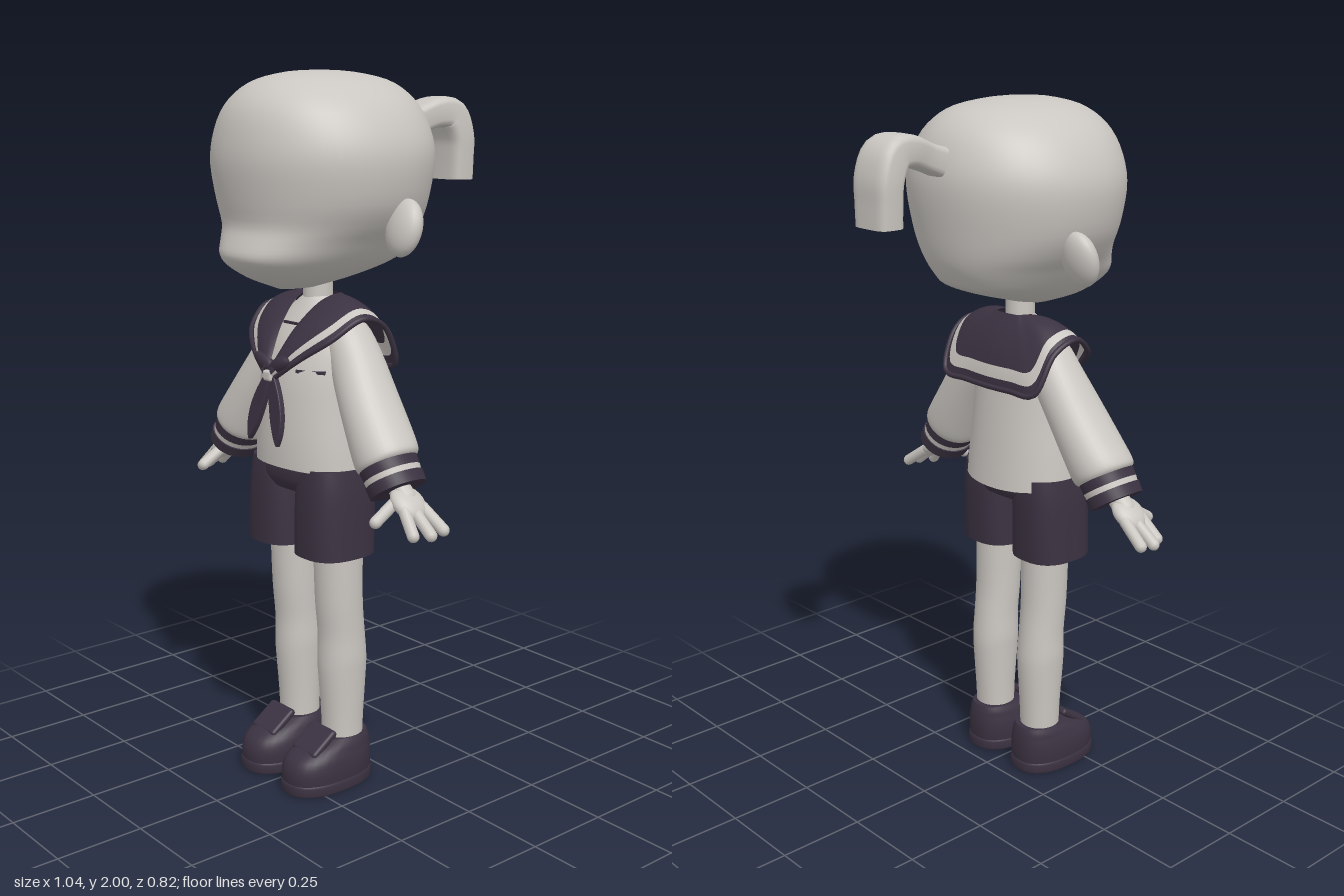
import * as THREE from 'three';
import { RoundedBoxGeometry } from 'three/addons/geometries/RoundedBoxGeometry.js';

const light = new THREE.MeshStandardMaterial({ color: 0xcac6c1, side: THREE.DoubleSide });
light.name = 'warm light grey';
const dark = new THREE.MeshStandardMaterial({ color: 0x3b3241, side: THREE.DoubleSide });
dark.name = 'dark plum';

const V = (x, y, z) => new THREE.Vector3(x, y, z);

function add(parent, name, geometry, material, x = 0, y = 0, z = 0) {
  const mesh = new THREE.Mesh(geometry, material);
  mesh.name = name;
  mesh.position.set(x, y, z);
  parent.add(mesh);
  return mesh;
}

// Skin over a list of closed rings, with flat end caps
function loft(rings, capped = true) {
  const n = rings[0].length, pos = [], idx = [];
  const put = p => pos.push(p.x, p.y, p.z) / 3 - 1;
  rings.forEach(r => r.forEach(put));
  for (let i = 0; i < rings.length - 1; i++) for (let j = 0; j < n; j++) {
    const k = (j + 1) % n, a = i * n + j, b = i * n + k, c = b + n, d = a + n;
    idx.push(a, b, d, b, c, d);
  }
  if (capped) [rings[0], rings[rings.length - 1]].forEach((r, top) => {
    const mid = put(r.reduce((s, p) => s.add(p), V(0, 0, 0)).divideScalar(n));
    const first = r.map(put)[0];
    for (let j = 0; j < n; j++) {
      const a = first + j, b = first + (j + 1) % n;
      if (top) idx.push(mid, a, b); else idx.push(mid, b, a);
    }
  });
  const g = new THREE.BufferGeometry();
  g.setAttribute('position', new THREE.Float32BufferAttribute(pos, 3));
  g.setIndex(idx);
  g.computeVertexNormals();
  return g;
}

// Smoothly subdivide rows of numbers
function smooth(rows, steps = 3) {
  const at = i => rows[Math.max(0, Math.min(rows.length - 1, i))];
  const out = [];
  for (let i = 0; i < rows.length - 1; i++) for (let s = 0; s < steps; s++) {
    const t = s / steps;
    out.push(rows[i].map((b, k) => {
      const a = at(i - 1)[k], c = at(i + 1)[k], d = at(i + 2)[k];
      return b + 0.5 * t * (c - a + t * (2 * a - 5 * b + 4 * c - d + t * (3 * (b - c) + d - a)));
    }));
  }
  return [...out, rows[rows.length - 1]];
}

const power = (v, n) => Math.sign(v) * Math.abs(v) ** (2 / n);

// Rows are [y, half width, front z, back z, squareness]
function body(rows, { steps = 3, segs = 32, capped = true } = {}) {
  const full = rows.map(([y, hx, zf, zb, n = 2.1]) => [y, hx, zf, zb, n]);
  return loft(smooth(full, steps).map(([y, hx, zf, zb, n]) =>
    Array.from({ length: segs }, (_, j) => {
      const a = j / segs * Math.PI * 2;
      return V(hx * power(Math.sin(a), n), y, (zf + zb) / 2 + (zf - zb) / 2 * power(Math.cos(a), n));
    })), capped);
}

function limb(parent, name, a, b, r, material) {
  const m = add(parent, name, new THREE.CapsuleGeometry(r, a.distanceTo(b), 5, 12), material);
  m.position.copy(a).add(b).multiplyScalar(0.5);
  m.quaternion.setFromUnitVectors(V(0, 1, 0), b.clone().sub(a).normalize());
}

function buildHead(g) {
  add(g, 'head', body([
    [1.425, .03, .26, .14, 2.2], [1.45, .1, .325, .05, 2.4], [1.475, .14, .37, -.04, 2.5],
    [1.5, .17, .4, -.105, 2.5], [1.525, .192, .41, -.13, 2.4], [1.56, .218, .398, -.15, 2.3],
    [1.6, .25, .385, -.163, 2.2], [1.66, .283, .395, -.175], [1.75, .3, .407, -.188],
    [1.82, .292, .403, -.187], [1.89, .258, .385, -.165], [1.94, .21, .35, -.13],
    [1.975, .15, .295, -.075], [1.995, .07, .21, .02], [2, .004, .12, .11]], { segs: 48 }), light);
  add(g, 'neck', new THREE.CylinderGeometry(.04, .043, .14, 24), light, 0, 1.42, .127);
  for (const s of [-1, 1]) {
    const ear = add(g, 'ear', new THREE.SphereGeometry(1, 24, 16), light, s * .29, 1.597, .07);
    ear.scale.set(.06, .077, .036);
    ear.rotation.x = -.25;
  }
  // Ponytail: squarish sections [z, y, half width, half thickness] along a bend
  const rows = smooth([[-.155, 1.84, .045, .042], [-.22, 1.862, .046, .038], [-.285, 1.884, .058, .042],
    [-.34, 1.878, .066, .046], [-.367, 1.82, .07, .043], [-.37, 1.76, .068, .041], [-.37, 1.695, .065, .041]], 4);
  add(g, 'ponytail', loft(rows.map(([z, y, hw, ht], i) => {
    const p = rows[Math.max(0, i - 1)], q = rows[Math.min(rows.length - 1, i + 1)];
    const t = new THREE.Vector2(q[1] - p[1], q[0] - p[0]).normalize();
    return Array.from({ length: 24 }, (_, j) => {
      const a = j / 12 * Math.PI, m = ht * power(Math.cos(a), 4);
      return V(hw * power(Math.sin(a), 4), y - t.y * m, z + t.x * m);
    });
  })), light);
}

function buildShirt(g) {
  const shirt = body([[.92, .188, .285, .005], [1, .182, .285, .012], [1.1, .172, .28, .02],
    [1.2, .165, .268, .028], [1.28, .155, .24, .035], [1.34, .12, .205, .06],
    [1.385, .06, .175, .085], [1.4, .04, .165, .09]], { segs: 40, capped: false });
  // Hem drops towards the back
  const p = shirt.attributes.position;
  for (let i = 0; i < p.count; i++) {
    const w = Math.max(0, 1 - (p.getY(i) - .92) / .12);
    p.setY(i, p.getY(i) + w * .12 * (p.getZ(i) - .145));
  }
  shirt.computeVertexNormals();
  add(g, 'shirt', shirt, light);
  add(g, 'necklineStripe', new THREE.BoxGeometry(.08, .007, .008), dark, 0, 1.327, .213);
  const pocket = add(g, 'pocketTrim', new THREE.BoxGeometry(.085, .009, .009), dark, .103, 1.208, .235);
  pocket.rotation.y = .5;

  // Sailor collar: bands between the neckline and the outer edge
  for (const s of [-1, 1]) {
    const curve = pts => new THREE.CatmullRomCurve3(pts.map(([x, y, z]) => V(x * s, y, z)));
    const inner = curve([[.006, 1.23, .288], [.03, 1.32, .232], [.05, 1.385, .165], [.055, 1.402, .125],
      [.05, 1.405, .095], [.045, 1.405, .08], [.025, 1.405, .075], [0, 1.405, .073]]);
    const outer = curve([[.02, 1.19, .292], [.1, 1.245, .272], [.175, 1.3, .225], [.21, 1.355, .14],
      [.207, 1.325, .062], [.185, 1.215, .006], [.09, 1.208, .002], [0, 1.206, 0]]);
    const point = (u, v) => {
      const q = inner.getPoint(u).lerp(outer.getPoint(u), v);
      const out = q.clone().sub(V(0, 1.25, .14)).normalize();
      return q.addScaledVector(out, .018 * 4 * v * (1 - v));
    };
    [['collar', 0, .7, dark], ['collarStripe', .7, .86, light], ['collarBorder', .86, 1, dark]]
      .forEach(([name, v0, v1, mat]) => {
        const geo = new THREE.PlaneGeometry(1, 1, 42, 6), a = geo.attributes.position;
        for (let i = 0; i < a.count; i++) {
          const u = a.getX(i) + .5, v = a.getY(i) + .5;
          const q = point(s > 0 ? u : 1 - u, v1 + (v0 - v1) * v);
          a.setXYZ(i, q.x, q.y, q.z);
        }
        geo.computeVertexNormals();
        add(g, name, geo, mat);
      });
    add(g, 'collarEdge', new THREE.TubeGeometry(outer, 42, .008, 8), dark);
    // Scarf tails and knot wings
    const leaf = new THREE.Shape();
    leaf.moveTo(s * .002, 0);
    leaf.quadraticCurveTo(s * .018, -.12, s * .062, -.178);
    leaf.quadraticCurveTo(s * .092, -.1, s * .02, 0);
    const tail = add(g, 'scarfTail', new THREE.ExtrudeGeometry(leaf,
      { depth: .012, bevelSize: .003, bevelThickness: .003, bevelSegments: 2, curveSegments: 10 }), dark, 0, 1.187, .286);
    tail.rotation.x = -.15;
    const wing = add(g, 'scarfKnot', new THREE.SphereGeometry(1, 16, 12), dark, s * .032, 1.224, .287);
    wing.scale.set(.046, .021, .016);
    wing.rotation.z = s * .4;
  }
  add(g, 'scarfRing', new RoundedBoxGeometry(.036, .03, .026, 3, .008), light, 0, 1.192, .296);
}

function buildArm(g, s) {
  const arm = new THREE.Group();
  arm.name = 'arm';
  arm.position.set(s * .125, 1.29, 0);
  arm.rotation.z = s * .585;
  g.add(arm);
  add(arm, 'sleeve', body([[-.372, .064, .225, .08], [-.362, .08, .237, .066], [-.34, .084, .24, .058],
    [-.28, .079, .235, .053], [-.18, .072, .222, .05], [-.06, .068, .2, .05], [.02, .058, .188, .06],
    [.045, .028, .16, .09]]), light);
  [['cuff', -.394, -.366, dark, 0], ['cuffStripe', -.41, -.394, light, -.002], ['cuff', -.442, -.41, dark, 0]]
    .forEach(([name, y0, y1, mat, o]) => add(arm, name, body(
      [[y0, .072 + o, .234 + o, .072 - o], [y1, .074 + o, .236 + o, .07 - o]], { steps: 1 }), mat));
  // Hand with three fingers and a thumb
  const hand = new THREE.Group();
  hand.name = 'hand';
  g.add(hand);
  limb(hand, 'wrist', V(s * .35, .95, .155), V(s * .4, .905, .155), .031, light);
  const palm = add(hand, 'palm', new THREE.SphereGeometry(1, 20, 14), light, s * .412, .897, .157);
  palm.scale.set(.056, .026, .05);
  palm.rotation.z = -s * .68;
  [[.124, .5, .835, .113], [.157, .504, .83, .16], [.187, .48, .83, .2]].forEach(([z, x, y, tz]) =>
    limb(hand, 'finger', V(s * .43, .884, z), V(s * x, y, tz), .0165, light));
  limb(hand, 'thumb', V(s * .392, .9, .185), V(s * .394, .858, .254), .0165, light);
}

function buildLeg(g, s) {
  const leg = new THREE.Group();
  leg.name = 'leg';
  leg.position.x = s * .1;
  g.add(leg);
  add(leg, 'stocking', body([[.1, .056, .185, .07], [.2, .058, .187, .065], [.33, .064, .197, .056],
    [.38, .066, .198, .056], [.45, .064, .197, .062], [.55, .066, .205, .07], [.72, .068, .21, .07]]), light);
  add(leg, 'shortsLeg', body([[.69, .097, .265, .05, 2.6], [.8, .094, .265, .045, 2.6],
    [.88, .09, .262, .042, 2.6], [.94, .082, .255, .045, 2.6]]), dark, s * .005);
  add(leg, 'shoe', body([[.025, .085, .322, .045, 2.4], [.06, .087, .323, .042, 2.4], [.09, .084, .312, .042, 2.4],
    [.11, .078, .288, .044, 2.4], [.127, .072, .25, .047, 2.4], [.143, .062, .205, .052, 2.3]]), dark, -s * .003);
  add(leg, 'sole', body([[.004, .085, .322, .044, 2.4], [.01, .089, .327, .04, 2.4], [.032, .089, .327, .04, 2.4],
    [.037, .086, .324, .043, 2.4]], { steps: 1 }), dark, -s * .003, -.004);
  const tongue = add(leg, 'shoeTongue', new RoundedBoxGeometry(.105, .022, .1, 3, .01), dark, -s * .003, .137, .226);
  tongue.rotation.x = .62;
}

export function createModel() {
  const g = new THREE.Group();
  g.name = 'sailorSuitFigure';
  buildHead(g);
  buildShirt(g);
  add(g, 'shortsHips', body([[.865, .15, .245, .05, 2.6], [.9, .178, .262, .036, 2.6], [.96, .172, .255, .04, 2.6]]), dark);
  for (const s of [-1, 1]) {
    buildArm(g, s);
    buildLeg(g, s);
  }
  return g;
}
